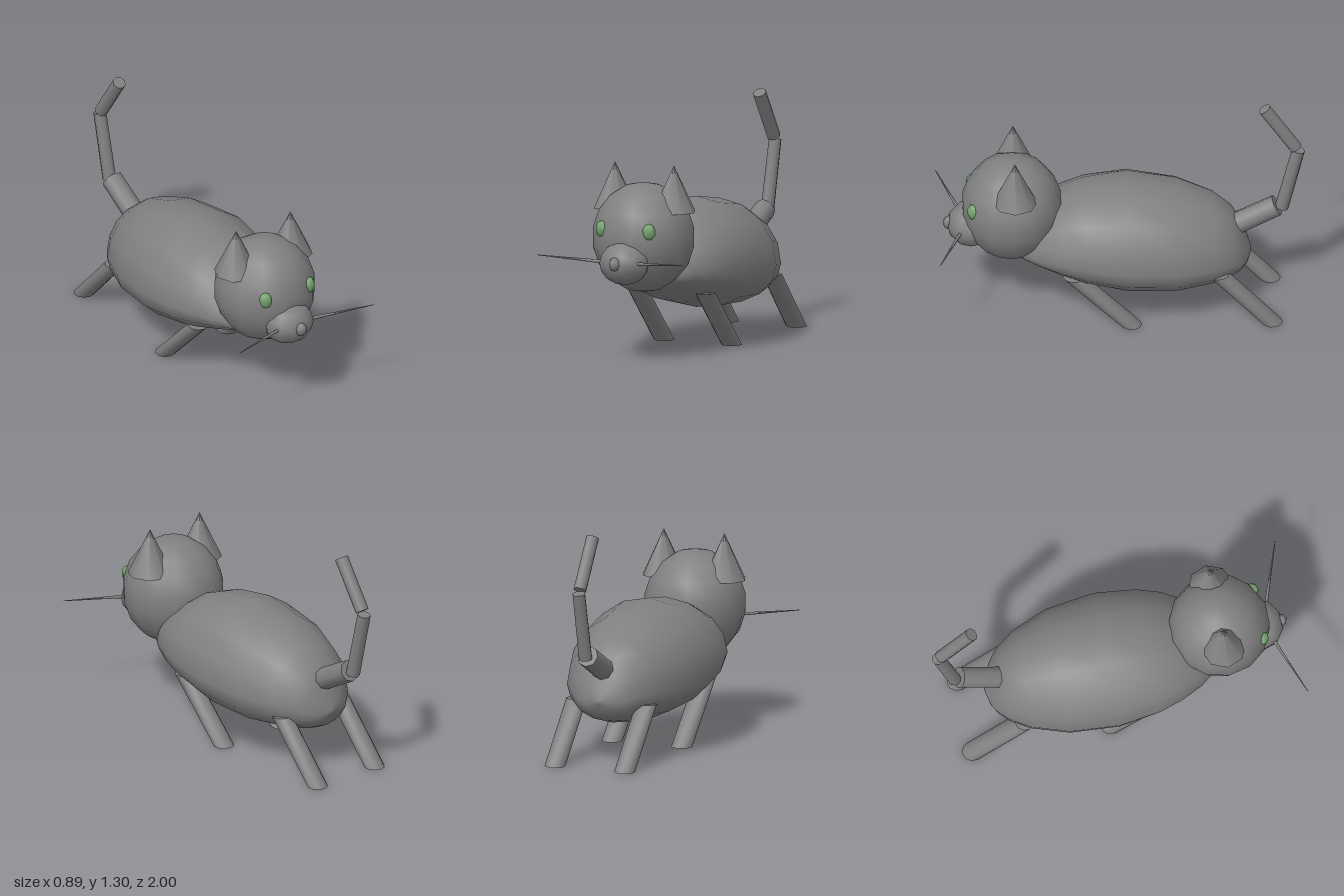
import * as THREE from 'three';

export function createModel() {
  const cat = new THREE.Group();
  cat.name = 'cat';
  const fur = new THREE.MeshStandardMaterial({ color: 0x808080 });
  fur.name = 'grey fur';
  const green = new THREE.MeshStandardMaterial({ color: 0x74a46e });
  green.name = 'green eye';

  function add(name, geometry, material = fur) {
    const mesh = new THREE.Mesh(geometry, material);
    mesh.name = name;
    cat.add(mesh);
    return mesh;
  }

  function ellipsoid(name, pos, scale, wSeg, hSeg, material) {
    const mesh = add(name, new THREE.SphereGeometry(1, wSeg, hSeg), material);
    mesh.position.set(...pos);
    mesh.scale.set(...scale);
    return mesh;
  }

  // Cylinder between two points
  function rod(name, from, to, r0, r1, sides) {
    const a = new THREE.Vector3(...from), b = new THREE.Vector3(...to);
    const dir = b.clone().sub(a);
    const mesh = add(name, new THREE.CylinderGeometry(r1, r0, dir.length(), sides));
    mesh.position.copy(a).add(b).multiplyScalar(0.5);
    mesh.quaternion.setFromUnitVectors(new THREE.Vector3(0, 1, 0), dir.normalize());
    return mesh;
  }

  // Body lofted from rump to chest: z, top, bottom
  const stations = [
    [-0.705, 0.36, 0.34], [-0.685, 0.42, 0.29], [-0.65, 0.51, 0.25], [-0.6, 0.6, 0.225],
    [-0.5, 0.68, 0.2], [-0.3, 0.76, 0.18], [-0.03, 0.805, 0.195], [0.2, 0.77, 0.25],
    [0.33, 0.72, 0.295], [0.45, 0.64, 0.34], [0.55, 0.54, 0.375], [0.61, 0.44, 0.41],
  ];
  const sides = 16, pos = [], idx = [];
  for (const [z, top, bottom] of stations) {
    const mid = bottom + 0.4 * (top - bottom);
    const width = 0.38 * Math.sqrt(Math.max(0.001, 1 - ((z + 0.045) / 0.66) ** 2));
    for (let i = 0; i < sides; i++) {
      const a = (i / sides) * Math.PI * 2, s = Math.sin(a);
      pos.push(width * Math.cos(a), mid + s * (s > 0 ? top - mid : mid - bottom), z);
    }
  }
  for (let j = 0; j < stations.length - 1; j++) {
    for (let i = 0; i < sides; i++) {
      const a = j * sides + i, b = j * sides + ((i + 1) % sides);
      idx.push(a, b, b + sides, a, b + sides, a + sides);
    }
  }
  const last = (stations.length - 1) * sides;
  for (let i = 1; i < sides - 1; i++) {
    idx.push(0, i + 1, i, last, last + i, last + i + 1);
  }
  const body = new THREE.BufferGeometry();
  body.setAttribute('position', new THREE.Float32BufferAttribute(pos, 3));
  body.setIndex(idx);
  body.computeVertexNormals();
  add('body', body);

  // Head and face
  ellipsoid('head', [0, 0.662, 0.597], [0.28, 0.302, 0.278], 14, 9);
  ellipsoid('muzzle', [0, 0.548, 0.82], [0.142, 0.12, 0.13], 10, 8);
  ellipsoid('nose', [0, 0.555, 0.94], [0.033, 0.038, 0.033], 7, 5);

  // Legs are slanted cylinders with flat feet
  function leg(name, x, z, slant) {
    const g = new THREE.CylinderGeometry(0.057, 0.057, 0.325, 10);
    g.translate(0, 0.1625, 0);
    const p = g.attributes.position;
    for (let i = 0; i < p.count; i++) p.setZ(i, p.getZ(i) + slant * p.getY(i));
    g.computeVertexNormals();
    add(name, g).position.set(x, 0, z);
  }

  for (const s of [1, -1]) {
    const side = s > 0 ? 'left' : 'right';
    const eye = ellipsoid(side + 'Eye', [s * 0.145, 0.724, 0.812], [0.038, 0.046, 0.03], 7, 5, green);
    eye.rotation.y = s * 0.55;
    add(side + 'Ear', new THREE.ConeGeometry(0.122, 0.255, 8)).position.set(s * 0.18, 0.9375, 0.585);
    rod(side + 'Whisker', [s * 0.11, 0.556, 0.88], [s * 0.443, 0.586, 0.998], 0.01, 0.002, 6);
    leg(side + 'FrontLeg', s * 0.207, -0.048, 0.97);
    leg(side + 'BackLeg', s * 0.207, -0.815, 0.9);
  }

  // Tail in three bent segments
  rod('tailBase', [0, 0.49, -0.58], [0, 0.63, -0.845], 0.062, 0.06, 8);
  rod('tailMiddle', [0, 0.62, -0.872], [0, 0.998, -0.963], 0.038, 0.036, 8);
  rod('tailTip', [0, 1.015, -0.948], [0, 1.275, -0.778], 0.037, 0.037, 8);

  return cat;
}
